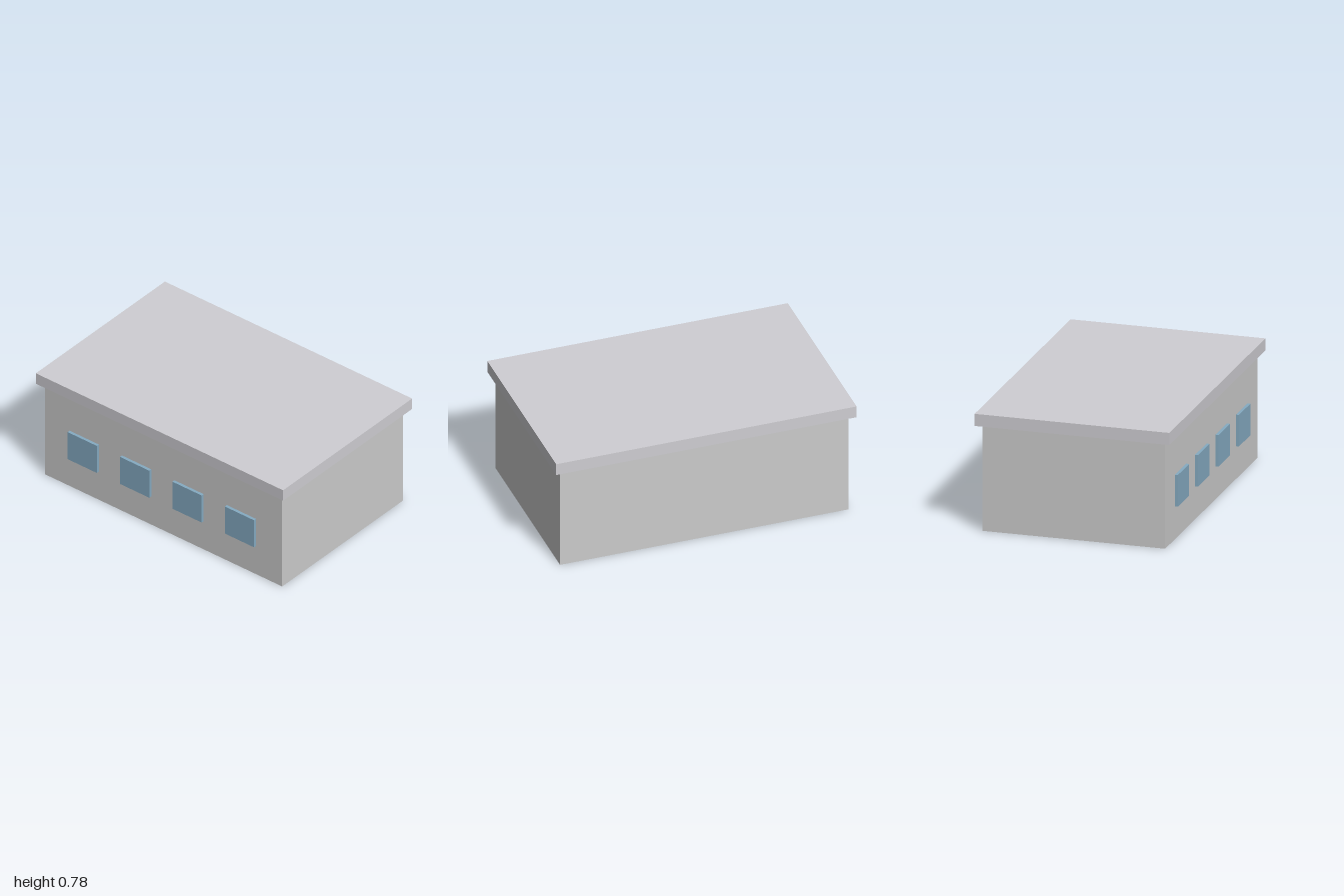
import * as THREE from 'three';

export function createModel() {
  const model = new THREE.Group();
  const wall = new THREE.MeshStandardMaterial({ color: 0xcccccc });
  const roof = new THREE.MeshStandardMaterial({ color: 0xcfced3 });
  const glass = new THREE.MeshStandardMaterial({ color: 0x85abc2 });

  // Box given by its size and the position of its centre
  function addBox(name, material, [w, h, d], [x, y, z]) {
    const mesh = new THREE.Mesh(new THREE.BoxGeometry(w, h, d), material);
    mesh.name = name;
    mesh.position.set(x, y, z);
    model.add(mesh);
  }

  // Building body and overhanging flat roof
  addBox('walls', wall, [1.92, 0.7, 1.2], [0, 0.35, 0]);
  addBox('roof', roof, [2, 0.08, 1.28], [0, 0.74, 0]);

  // Row of four window panes standing proud of the front wall
  for (let i = 0; i < 4; i++) {
    addBox(`window${i + 1}`, glass, [0.237, 0.208, 0.02], [-0.641 + i * 0.424, 0.321, 0.61]);
  }

  return model;
}
